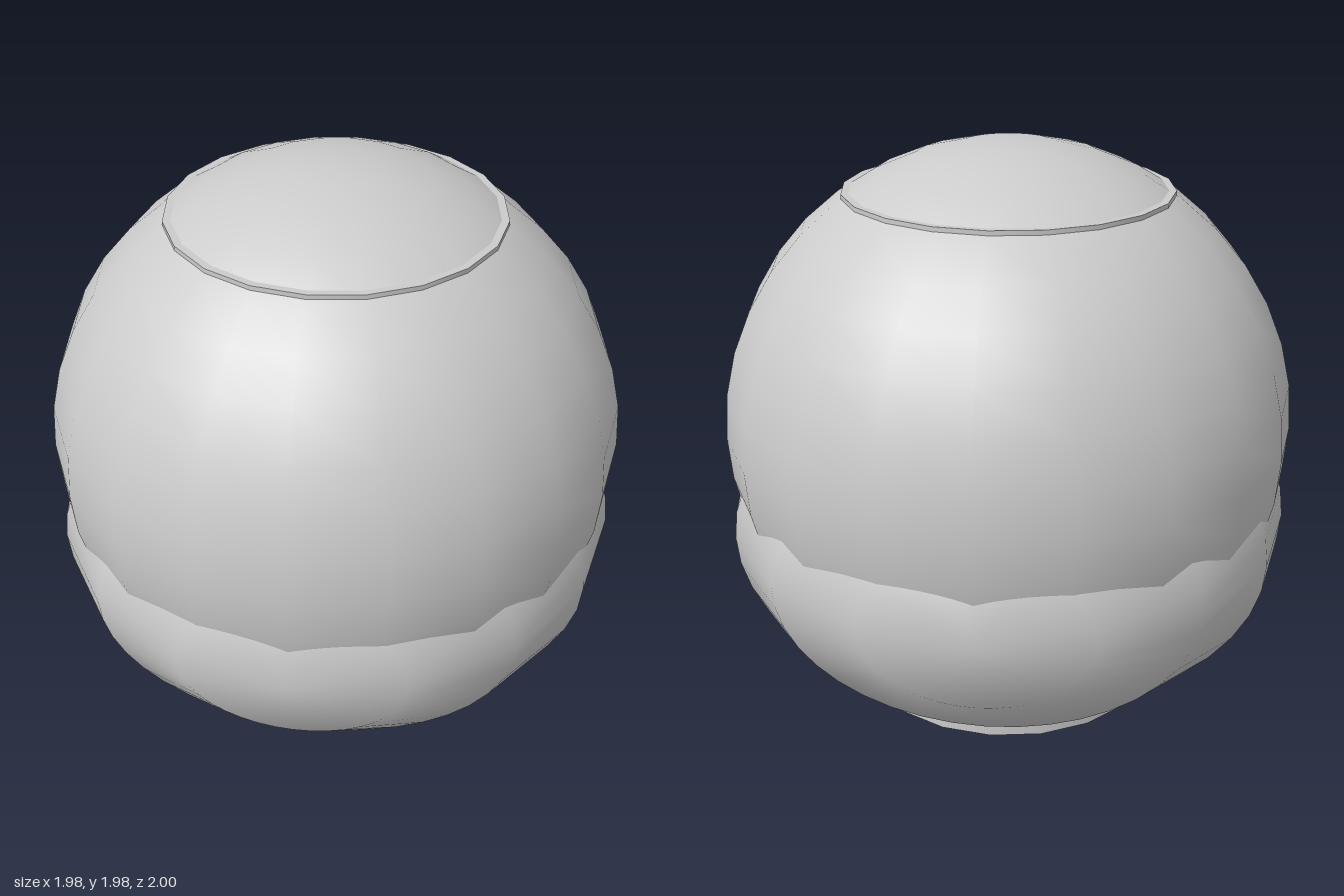
import * as THREE from 'three';

export function createModel() {
  const group = new THREE.Group();
  const material = new THREE.MeshStandardMaterial({ color: 0xcccccc });
  const add = (name, geometry, y) => {
    const mesh = new THREE.Mesh(geometry, material);
    mesh.name = name;
    mesh.position.y = y;
    group.add(mesh);
  };

  // Large round upper body
  add('upperBody', new THREE.SphereGeometry(0.99, 20, 20), 0.995);

  // Squashed lower bulge, poles facing front and back
  const bulgeY = 0.65;
  const bulge = new THREE.SphereGeometry(1, 40, 8);
  bulge.rotateX(Math.PI / 2);
  bulge.scale(0.99, 0.69, 1);
  // Flatten the underside so that it ends inside the core
  const p = bulge.attributes.position;
  for (let i = 0; i < p.count; i++) p.setY(i, Math.max(p.getY(i), 0.03 - bulgeY));
  add('lowerBulge', bulge, bulgeY);

  // Core running through the body: foot below, thin rim near the top
  const bottom = 0.02, top = 1.825;
  add('core', new THREE.CylinderGeometry(0.56, 0.56, top - bottom, 20), (top + bottom) / 2);

  return group;
}
